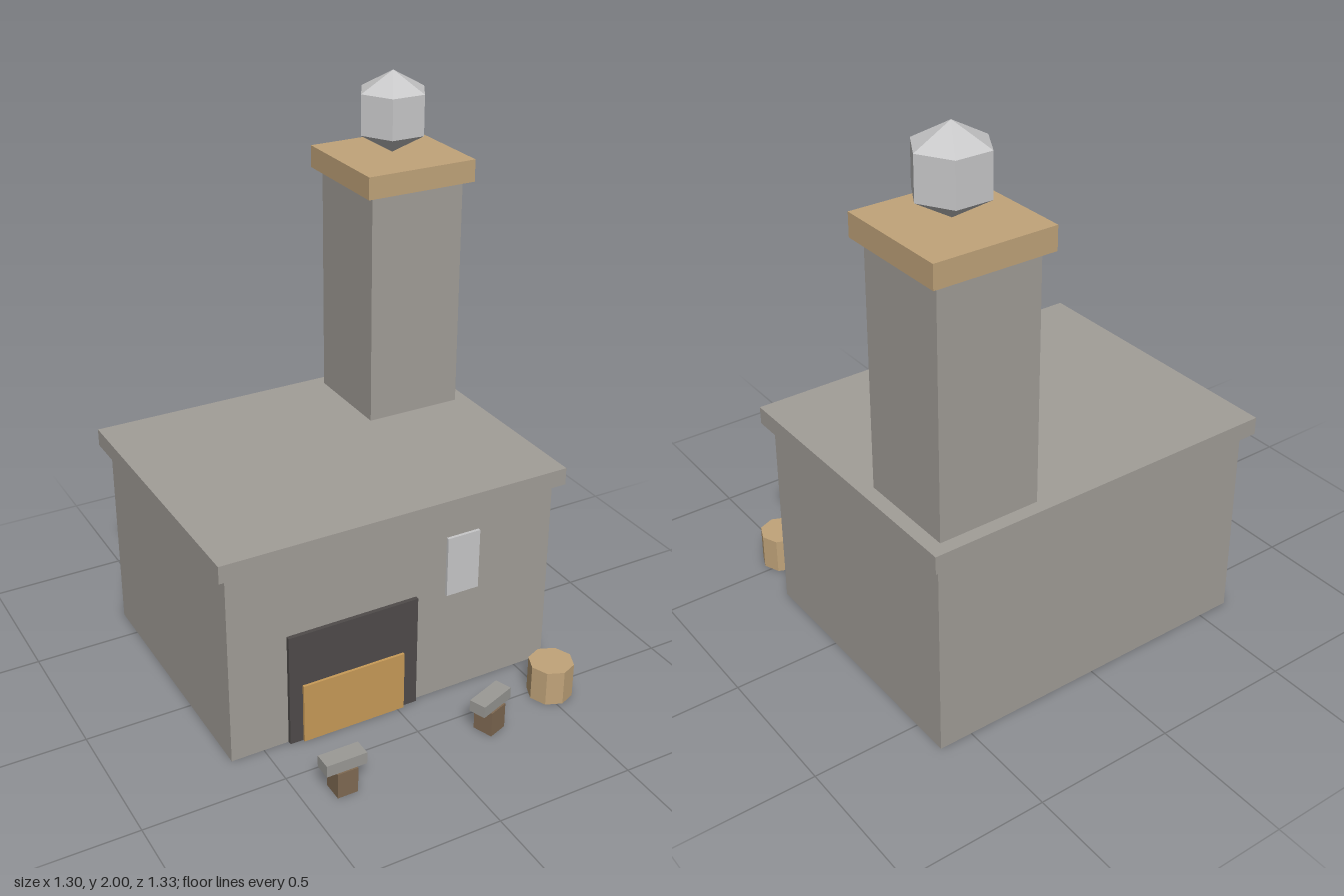
import * as THREE from 'three';

const mat = (name, color) => {
  const m = new THREE.MeshStandardMaterial({ color });
  m.name = name;
  return m;
};

export function createModel() {
  const stone = mat('stone grey', 0xa29e98);
  const tan = mat('tan wood', 0xc1a47a);
  const soot = mat('soot black', 0x4f4b4a);
  const amber = mat('amber', 0xc89b58);
  const pale = mat('pale grey', 0xc8c8c9);
  const slate = mat('seat grey', 0x9b9a96);
  const brown = mat('brown wood', 0x806a53);

  const model = new THREE.Group();
  model.name = 'forgeHouse';

  const add = (name, geometry, material, x, y, z, parent = model) => {
    const mesh = new THREE.Mesh(geometry, material);
    mesh.name = name;
    mesh.position.set(x, y, z);
    parent.add(mesh);
    return mesh;
  };
  // Box given by its lower and upper bounds on each axis
  const box = (name, material, [x0, x1], [y0, y1], [z0, z1], parent) =>
    add(name, new THREE.BoxGeometry(x1 - x0, y1 - y0, z1 - z0), material,
      (x0 + x1) / 2, (y0 + y1) / 2, (z0 + z1) / 2, parent);
  // Faceted solid of revolution with a corner on the +x axis
  const faceted = (profile, sides, start) => {
    const points = profile.map(([r, y]) => new THREE.Vector2(r, y));
    const g = new THREE.LatheGeometry(points, sides, start).toNonIndexed();
    g.computeVertexNormals();
    return g;
  };

  // Building
  box('walls', stone, [-0.618, 0.618], [0, 0.72], [-0.633, 0.338]);
  box('roofSlab', stone, [-0.65, 0.65], [0.72, 0.783], [-0.668, 0.37]);
  box('chimney', stone, [0.24, 0.6], [0.783, 1.63], [-0.62, -0.26]);
  box('chimneyCap', tan, [0.21, 0.63], [1.63, 1.71], [-0.65, -0.23]);

  // Hexagonal finial floating on the chimney cap
  add('finial', faceted([[0, 1.712], [0.125, 1.786], [0.125, 1.93], [0, 2]], 6, Math.PI / 6),
    pale, 0.42, 0, -0.44);

  // Hearth opening, glowing panel and wall plaque
  box('hearthOpening', soot, [-0.408, 0.08], [0, 0.425], [0.338, 0.353]);
  box('hearthGlow', amber, [-0.36, 0.025], [0, 0.225], [0.353, 0.363]);
  box('wallPlaque', pale, [0.196, 0.322], [0.396, 0.622], [0.338, 0.349]);

  // Two small anvil stands in front of the hearth
  for (const [name, x, z, turn] of [
    ['rightStand', -0.36, 0.628, 0],
    ['leftStand', 0.225, 0.594, 0.35],
  ]) {
    const stand = new THREE.Group();
    stand.name = name;
    stand.position.set(x, 0, z);
    stand.rotation.y = turn;
    box('standPost', brown, [-0.037, 0.037], [0, 0.095], [-0.037, 0.037], stand);
    box('standTop', slate, [-0.073, 0.073], [0.095, 0.138], [-0.031, 0.031], stand);
    model.add(stand);
  }

  // Eight-sided barrel
  add('barrel', faceted([[0, 0], [0.08, 0], [0.08, 0.13], [0, 0.13]], 8, 0), tan, 0.52, 0, 0.53);

  return model;
}
